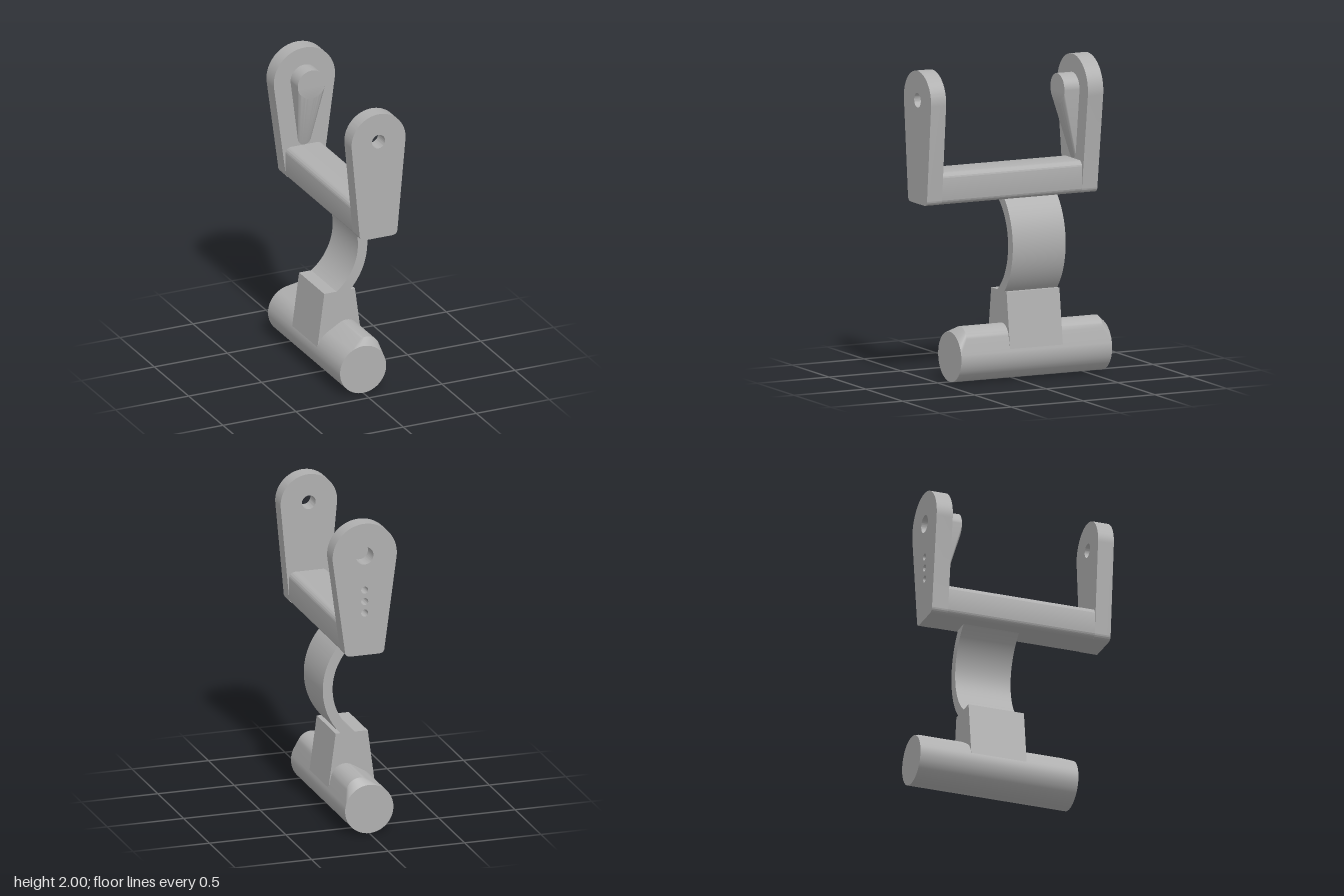
import * as THREE from 'three';
import { toCreasedNormals } from 'three/addons/utils/BufferGeometryUtils.js';
import { ConvexGeometry } from 'three/addons/geometries/ConvexGeometry.js';

const CREASE = 0.45;

// Extrudes a shape between two z positions, smooth on curves and sharp on corners.
function prism(shape, zBack, zFront) {
  const geometry = new THREE.ExtrudeGeometry(shape, {
    depth: zFront - zBack, bevelEnabled: false, curveSegments: 32,
  });
  geometry.translate(0, 0, zBack);
  return toCreasedNormals(geometry, CREASE);
}

// Ring of points parallel to the xy plane.
function ring(x, y, z, r, count = 64) {
  return Array.from({ length: count }, (_, i) => {
    const a = (i / count) * Math.PI * 2;
    return new THREE.Vector3(x + r * Math.cos(a), y + r * Math.sin(a), z);
  });
}

// Solid skin stretched around several rings.
function hull(...rings) {
  return toCreasedNormals(new ConvexGeometry(rings.flat()), CREASE);
}

const PIVOT_Y = 1.79;
const BASE_Y = 1.14;
const HALF = 0.13;
const ROUND = 0.04;

// Upright with a round head, tapering to a narrow foot with rounded corners.
function uprightShape(radius, holes) {
  const tilt = Math.asin((radius - HALF) / 0.62);
  const shape = new THREE.Shape();
  shape.absarc(0, PIVOT_Y, radius, -tilt, Math.PI + tilt, false);
  shape.lineTo(-HALF, BASE_Y + ROUND);
  shape.quadraticCurveTo(-HALF, BASE_Y, -HALF + ROUND, BASE_Y);
  shape.lineTo(HALF - ROUND, BASE_Y);
  shape.quadraticCurveTo(HALF, BASE_Y, HALF, BASE_Y + ROUND);
  shape.closePath();
  for (const [y, r] of holes) {
    shape.holes.push(new THREE.Path().absarc(0, y, r, 0, Math.PI * 2, true));
  }
  return shape;
}

// Rounded rectangle section of the cross bar.
function barShape() {
  const top = 1.345, r = ROUND, shape = new THREE.Shape();
  shape.absarc(HALF - r, top - r, r, 0, Math.PI / 2, false);
  shape.absarc(-HALF + r, top - r, r, Math.PI / 2, Math.PI, false);
  shape.absarc(-HALF + r, BASE_Y + r, r, Math.PI, Math.PI * 1.5, false);
  shape.absarc(HALF - r, BASE_Y + r, r, Math.PI * 1.5, Math.PI * 2, false);
  shape.closePath();
  return shape;
}

// Curved strip with level ends.
function neckShape() {
  const cx = -0.24, cy = 0.8475, half = 0.2925, outer = 0.4295, inner = 0.365;
  const a = Math.asin(half / outer), b = Math.asin(half / inner);
  const shape = new THREE.Shape();
  shape.absarc(cx, cy, outer, -a, a, false);
  shape.absarc(cx, cy, inner, b, -b, true);
  shape.closePath();
  return shape;
}

// Tapered block that grows out of the base rod.
function blockShape() {
  const shape = new THREE.Shape();
  shape.moveTo(-0.155, 0.18);
  shape.lineTo(0.155, 0.18);
  shape.lineTo(0.105, 0.555);
  shape.lineTo(-0.105, 0.555);
  shape.closePath();
  return shape;
}

export function createModel() {
  const group = new THREE.Group();
  const grey = new THREE.MeshStandardMaterial({ color: 0xb0b0b0 });
  grey.name = 'grey';

  const add = (name, geometry) => {
    const mesh = new THREE.Mesh(geometry, grey);
    mesh.name = name;
    group.add(mesh);
  };

  // Fork: two uprights joined by a bar
  add('frontUpright', prism(uprightShape(0.185, [[PIVOT_Y, 0.045]]), 0.535, 0.64));
  add('backUpright', prism(uprightShape(0.21, [
    [PIVOT_Y, 0.057], [1.565, 0.023], [1.49, 0.023], [1.415, 0.023],
  ]), -0.547, -0.44));
  add('crossBar', prism(barShape(), -0.44, 0.535));

  // Teardrop boss, sloping down to the bar; it closes the holes of the back upright
  add('pivotBoss', hull(
    ring(0, PIVOT_Y, -0.335, 0.095),
    ring(0, PIVOT_Y, -0.44, 0.095),
    ring(0, 1.39, -0.44, 0.045),
  ));

  // Curved neck and its block
  add('curvedNeck', prism(neckShape(), -0.295, 0.073));
  add('neckBlock', prism(blockShape(), -0.295, 0.073));

  // Base rod with a raised ridge that slopes back to round ends
  add('baseRod', hull(
    ring(0, 0.16, 0.415, 0.158),
    ring(0.045, 0.265, 0.365, 0.09),
    ring(0.045, 0.265, -0.585, 0.09),
    ring(0, 0.16, -0.635, 0.158),
  ));

  // Stand the model on the ground
  group.position.y = -0.002;
  const root = new THREE.Group();
  root.name = 'forkBracket';
  root.add(group);
  return root;
}
